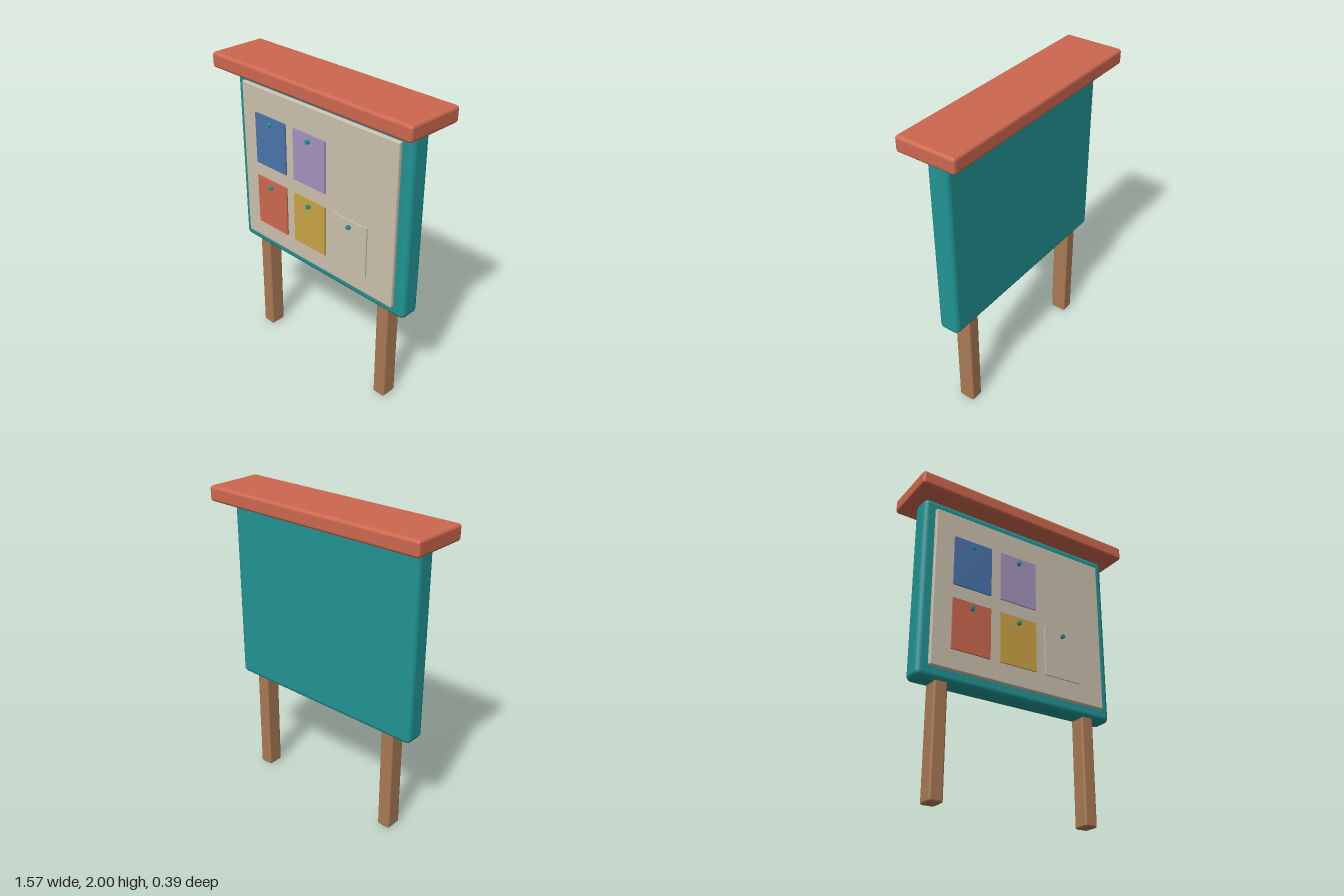
import * as THREE from 'three';
import { RoundedBoxGeometry } from 'three/addons/geometries/RoundedBoxGeometry.js';

function material(name, color) {
  const m = new THREE.MeshStandardMaterial({ color });
  m.name = name;
  return m;
}

export function createModel() {
  const teal = material('teal', 0x219494);
  const coral = material('coral', 0xcd684f);
  const wood = material('wood', 0xaa7a54);
  const cream = material('cream', 0xccc1ad);
  const blue = material('blue', 0x4a75ad);
  const lilac = material('lilac', 0xa594bf);
  const gold = material('gold', 0xcaa445);

  const group = new THREE.Group();
  group.name = 'noticeBoard';

  function add(name, geometry, mat, x, y, z) {
    const mesh = new THREE.Mesh(geometry, mat);
    mesh.name = name;
    mesh.position.set(x, y, z);
    group.add(mesh);
    return mesh;
  }
  const rounded = (w, h, d, r) => new RoundedBoxGeometry(w, h, d, 4, r);

  // Posts, frame and roof
  for (const [name, side] of [['leftPost', 1], ['rightPost', -1]]) {
    add(name, rounded(0.09, 0.72, 0.11, 0.014), wood, side * 0.532, 0.36, 0);
  }
  add('frame', rounded(1.41, 1.21, 0.14, 0.035), teal, 0, 1.3, 0);
  add('roof', rounded(1.57, 0.098, 0.39, 0.02), coral, 0, 1.951, 0);

  // Pin panel on the front
  add('panel', rounded(1.266, 1.064, 0.03, 0.008), cream, 0, 1.3, 0.082);

  // Notices, each with a round pin near the top
  const notices = [
    ['blue', blue, 0, 1],
    ['lilac', lilac, 1, 1],
    ['coral', coral, 0, 0],
    ['gold', gold, 1, 0],
    ['cream', cream, 2, 0],
  ];
  const sheet = new THREE.BoxGeometry(0.268, 0.338, 0.0095);
  const pin = new THREE.CylinderGeometry(0.014, 0.014, 0.018, 16).rotateX(Math.PI / 2);
  for (const [name, mat, column, row] of notices) {
    const x = -0.371 + column * 0.337;
    const y = 1.064 + row * 0.432;
    add(name + 'Notice', sheet, mat, x, y, 0.105);
    add(name + 'NoticePin', pin, teal, x, y + 0.126, 0.12);
  }
  return group;
}
